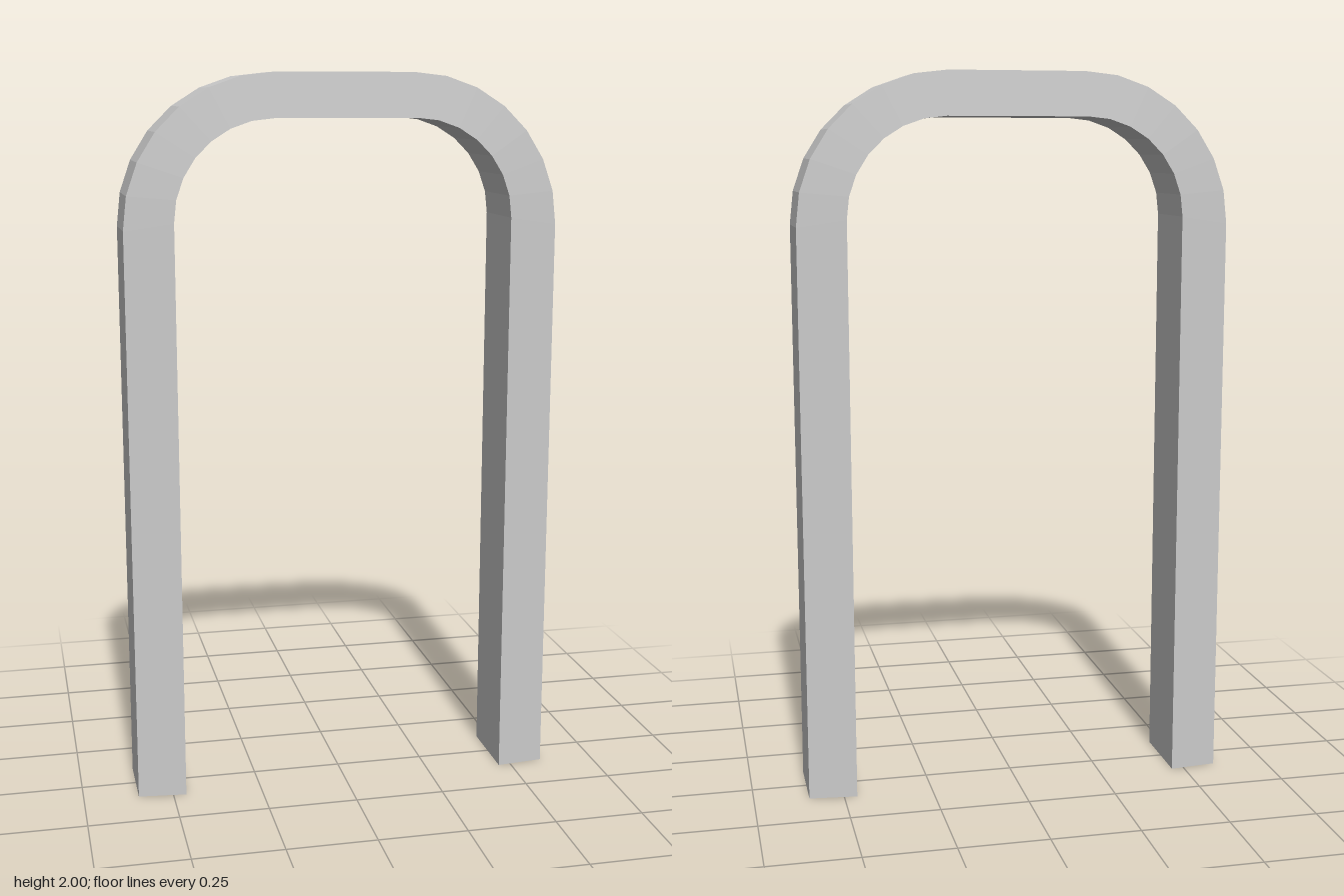
import * as THREE from 'three';

const ARC_STEPS = 7;

// Points of an arch line, from the foot at +x over the top to the foot at -x
function archLine(halfWidth, height, radius) {
  const cx = halfWidth - radius, cy = height - radius;
  const half = [[halfWidth, 0]];
  for (let i = 0; i <= ARC_STEPS; i++) {
    const a = (i / ARC_STEPS) * Math.PI / 2;
    half.push([cx + radius * Math.cos(a), cy + radius * Math.sin(a)]);
  }
  return [...half, ...half.map(([x, y]) => [-x, y]).reverse()];
}

export function createModel() {
  const group = new THREE.Group();
  group.name = 'arch';

  // Tapered section: narrower in depth on the outside than on the inside
  const outer = archLine(0.597, 2, 0.41), outerZ = 0.096;
  const inner = archLine(0.464, 1.88, 0.27), innerZ = 0.11;
  const rings = outer.map(([x, y], i) => [
    [x, y, outerZ],
    [inner[i][0], inner[i][1], innerZ],
    [inner[i][0], inner[i][1], -innerZ],
    [x, y, -outerZ],
  ]);

  const positions = [];
  const quad = (a, b, c, d) => positions.push(...a, ...b, ...c, ...a, ...c, ...d);

  // Four walls along the bend
  for (let i = 0; i < rings.length - 1; i++) {
    const r = rings[i], s = rings[i + 1];
    for (let k = 0; k < 4; k++) {
      const n = (k + 1) % 4;
      quad(r[k], s[k], s[n], r[n]);
    }
  }

  // Soles of the two feet
  const [a, b, c, d] = rings[0];
  quad(a, b, c, d);
  const [e, f, g, h] = rings[rings.length - 1];
  quad(h, g, f, e);

  const geometry = new THREE.BufferGeometry();
  geometry.setAttribute('position', new THREE.Float32BufferAttribute(positions, 3));
  geometry.computeVertexNormals();

  const frame = new THREE.Mesh(
    geometry,
    new THREE.MeshStandardMaterial({ color: 0xcccccc, flatShading: true })
  );
  frame.name = 'archFrame';
  group.add(frame);
  return group;
}
